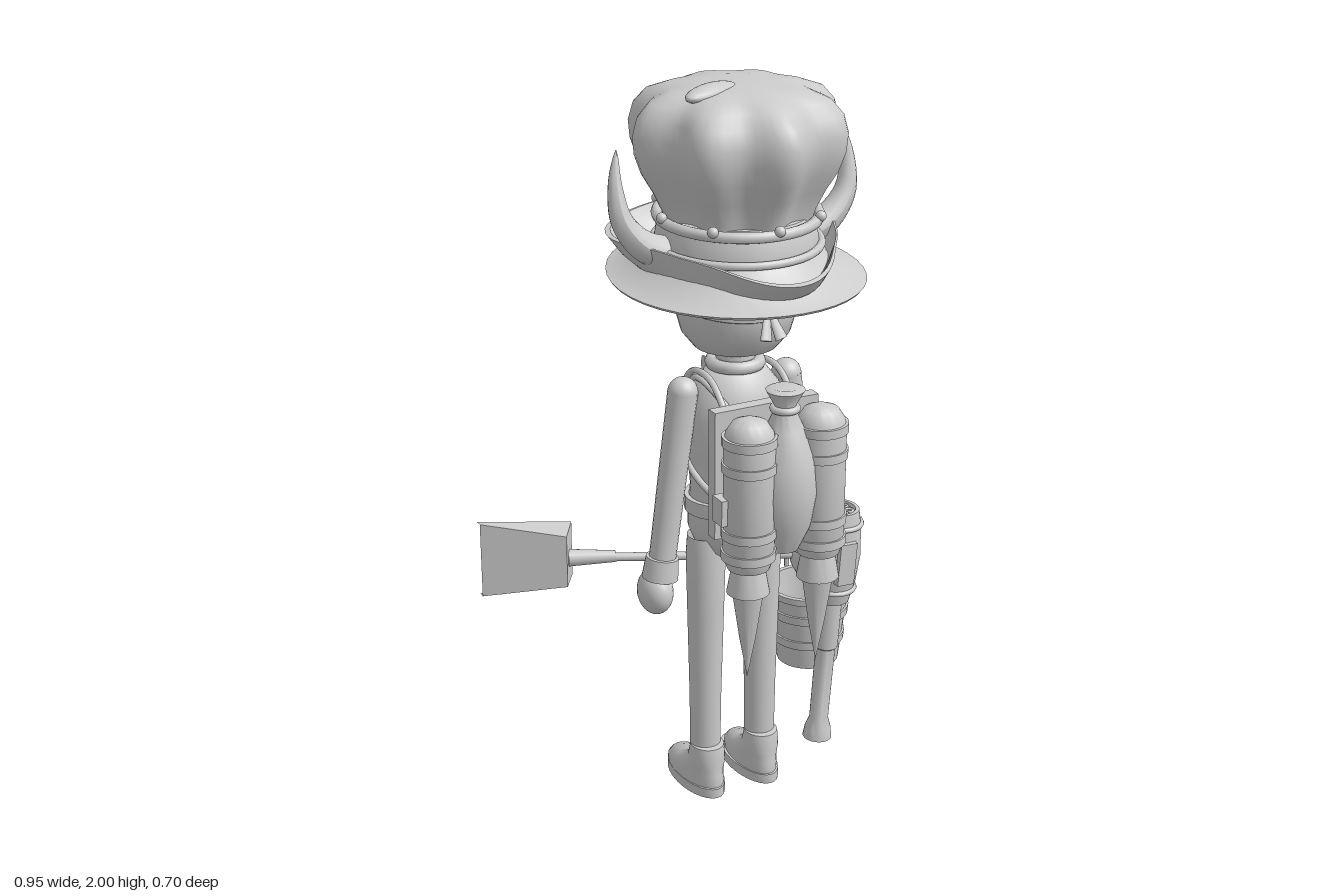
import * as THREE from 'three';
import { toCreasedNormals } from 'three/addons/utils/BufferGeometryUtils.js';

const V = (x, y, z) => new THREE.Vector3(x, y, z);
const CX = 0.12; // body centre line

export function createModel() {
  const model = new THREE.Group();
  const grey = new THREE.MeshStandardMaterial({ color: 0xcccccc, side: THREE.DoubleSide });
  grey.name = 'clay grey';

  const add = (name, geo, x = 0, y = 0, z = 0, parent = model) => {
    const m = new THREE.Mesh(geo, grey);
    m.name = name;
    m.position.set(x, y, z);
    parent.add(m);
    return m;
  };
  // Turned shape from [radius, height] pairs, optionally bent by a rule
  const turned = (profile, seg = 28, rule) => {
    const g = new THREE.LatheGeometry(profile.map(p => new THREE.Vector2(...p)), seg);
    if (rule) {
      const p = g.attributes.position, v = V(0, 0, 0);
      for (let i = 0; i < p.count; i++) {
        v.fromBufferAttribute(p, i);
        rule(v, Math.atan2(v.x, v.z), Math.hypot(v.x, v.z));
        p.setXYZ(i, v.x, v.y, v.z);
      }
    }
    return toCreasedNormals(g, 0.75);
  };
  const ball = (rx, ry, rz) => new THREE.SphereGeometry(1, 24, 16).scale(rx, ry, rz);
  // Tapered rod between two points
  const rod = (name, a, b, ra, rb = ra) => {
    const d = b.clone().sub(a);
    const m = add(name, new THREE.CylinderGeometry(rb, ra, d.length(), 18));
    m.position.copy(a).addScaledVector(d, 0.5);
    m.quaternion.setFromUnitVectors(V(0, 1, 0), d.normalize());
    return m;
  };
  const tube = (name, pts, r, closed = false) =>
    add(name, new THREE.TubeGeometry(new THREE.CatmullRomCurve3(pts, closed), 40, r, 8, closed));
  const ring = (name, r, t, x, y, z) =>
    add(name, new THREE.TorusGeometry(r, t, 8, 36).rotateX(Math.PI / 2), x, y, z);

  // ---- Torso, hips and neck
  const flat = v => { v.z *= 0.82; };
  add('torso', turned([[0.125, 0.84], [0.122, 0.92], [0.13, 1.02], [0.135, 1.12], [0.12, 1.19],
    [0.085, 1.235], [0.045, 1.25], [0, 1.25]], 32, flat), CX);
  add('hips', turned([[0, 0.69], [0.06, 0.7], [0.105, 0.74], [0.128, 0.8], [0.128, 0.87]], 32, flat), CX);
  add('belt', turned([[0.128, 0.85], [0.138, 0.85], [0.138, 0.89], [0.125, 0.89]], 32, flat), CX);
  add('beltBuckle', new THREE.BoxGeometry(0.06, 0.045, 0.015), CX, 0.87, -0.117);
  add('neck', new THREE.CylinderGeometry(0.05, 0.055, 0.1, 20), CX, 1.26, 0);
  ring('collar', 0.062, 0.018, CX, 1.255, 0);
  for (const s of [-1, 1]) {
    const wing = add('bowTieWing', new THREE.ConeGeometry(0.025, 0.05, 10), CX + s * 0.024, 1.225, -0.085);
    wing.rotation.z = s * Math.PI / 2;
    wing.scale.z = 0.5;
  }
  // Shoulder strap, worn diagonally across the chest
  tube('chestStrap', [V(0.02, 1.22, 0), V(0.04, 1.18, -0.09), V(0.12, 1.06, -0.117), V(0.22, 0.92, -0.07),
    V(0.25, 0.89, 0), V(0.2, 0.95, 0.085), V(0.12, 1.06, 0.115), V(0.04, 1.18, 0.09)], 0.008, true);

  // ---- Arms, legs and shoes
  for (const s of [-1, 1]) {
    const at = (x, y, z = 0) => V(CX + s * x, y, z);
    add('shoulder', ball(0.04, 0.04, 0.04), CX + s * 0.153, 1.195, 0);
    rod('arm', at(0.215, 0.73), at(0.153, 1.195), 0.036, 0.04);
    const cuff = add('cuff', turned([[0, 0], [0.049, 0], [0.044, 0.06], [0, 0.065]], 20), CX + s * 0.222, 0.68, 0);
    cuff.rotation.z = s * 0.13;
    add('hand', ball(0.046, 0.063, 0.06), CX + s * 0.234, 0.64, -0.005);
    add('thumb', ball(0.018, 0.035, 0.02), CX + s * 0.205, 0.655, -0.05);

    add('leg', turned([[0.042, 0.11], [0.044, 0.3], [0.05, 0.55], [0.054, 0.72], [0.05, 0.78]], 20), CX + s * 0.085);
    const shoe = add('shoe', turned([[0, 0.02], [0.99, 0.02], [1, 0.04], [0.97, 0.06], [0.93, 0.08], [0.88, 0.1],
      [0.84, 0.125], [0.8, 0.145], [0, 0.15]], 24, v => {
      const t = THREE.MathUtils.smoothstep(v.y, 0.045, 0.11);
      v.x *= 0.057;
      v.z = v.z * (0.122 - 0.06 * t) + THREE.MathUtils.lerp(-0.053, 0.01, t);
    }), CX + s * 0.085);
    shoe.rotation.y = s * -0.04;
    add('sole', turned([[0, 0], [1, 0], [1, 0.028], [0, 0.028]], 28, v => { v.x *= 0.06; v.z *= 0.13; }),
      CX + s * 0.085, 0, -0.055);
  }

  // ---- Head and bandana
  add('head', turned([[0, 1.282], [0.06, 1.285], [0.11, 1.305], [0.142, 1.345], [0.157, 1.4], [0.16, 1.46],
    [0.155, 1.55], [0, 1.56]], 32), CX);
  add('bandana', turned([[0.159, 1.425], [0.168, 1.43], [0.169, 1.475], [0.16, 1.48]], 32,
    v => { v.y += v.z * -0.1; }), CX);
  add('bandanaKnot', ball(0.02, 0.02, 0.02), CX, 1.455, 0.165);
  for (const s of [-1, 1]) {
    const tail = rod('bandanaTail', V(CX + s * 0.022, 1.375, 0.2), V(CX, 1.455, 0.165), 0.017, 0.006);
    tail.scale.z = 0.5;
  }
  rod('facePendant', V(0.19, 1.42, -0.155), V(0.19, 1.5, -0.16), 0.012, 0.007);

  // ---- Stacked hats: round brim, three-cornered hat, studded band, pleated top
  const brim = add('roundBrim', turned([[0.15, 1.51], [0.24, 1.495], [0.325, 1.49], [0.33, 1.497], [0.25, 1.525],
    [0.205, 1.58]], 40, (v, a, r) => { v.z *= 1.04; v.y += -0.05 * v.z + 0.012 * Math.cos(2 * a) * r; }), CX);
  brim.position.y = 0.005;
  add('hatCrown', turned([[0.2, 1.5], [0.215, 1.56], [0.205, 1.62], [0.19, 1.66], [0, 1.67]], 32), CX);
  add('threeCorneredHat', turned([[0.2, 1.5], [0.235, 1.515], [0.262, 1.55], [0.285, 1.6], [0.277, 1.602],
    [0.252, 1.555], [0.21, 1.53]], 72, (v, a, r) => {
    const corner = Math.pow(Math.abs(Math.cos(1.5 * a)), 3);
    const k = THREE.MathUtils.clamp((r - 0.2) / 0.085, 0, 1);
    const scale = 1 + k * (0.27 * corner - 0.1);
    v.x *= scale;
    v.z *= scale;
    v.y += -0.1 * v.z + k * 0.012 * (1 - 2 * corner);
  }), CX);
  const band = new THREE.Group();
  band.name = 'studdedBand';
  band.position.set(CX, 1.655, 0.008);
  band.rotation.x = 0.03;
  model.add(band);
  for (const [y, t] of [[0, 0.015], [-0.07, 0.011]])
    add('bandRim', new THREE.TorusGeometry(0.205 - y * 0.12, t, 8, 40).rotateX(Math.PI / 2), 0, y, 0, band);
  for (let i = 0; i < 8; i++) {
    const a = i * Math.PI / 4;
    add('stud', ball(0.014, 0.014, 0.014), Math.sin(a) * 0.215, 0.014, Math.cos(a) * 0.215, band);
  }
  add('pleatedHat', turned([[0.18, 1.63], [0.193, 1.68], [0.215, 1.73], [0.243, 1.78], [0.26, 1.83], [0.264, 1.875],
    [0.252, 1.92], [0.222, 1.955], [0.17, 1.976], [0.09, 1.985], [0, 1.986]], 80, (v, a, r) => {
    const k = 1 + 0.075 * Math.cos(8 * a) * THREE.MathUtils.smoothstep(r, 0.05, 0.24);
    v.x *= k;
    v.z *= k;
  }), CX);
  const curl = add('hatTopFold', ball(0.095, 0.022, 0.035), 0.025, 1.978, 0.04);
  curl.rotation.y = 0.45;

  // Curved horns, built as shrinking rings along a curve
  for (const s of [-1, 1]) {
    const path = new THREE.CatmullRomCurve3([V(0.19, 1.57, 0), V(0.265, 1.605, 0.005), V(0.318, 1.67, 0),
      V(0.33, 1.76, -0.015), V(0.318, 1.845, -0.032)].map(p => V(CX + s * p.x, p.y, p.z)));
    const g = new THREE.TubeGeometry(path, 24, 1, 12), p = g.attributes.position, v = V(0, 0, 0);
    for (let i = 0; i < p.count; i++) {
      const t = Math.floor(i / 13) / 24, c = path.getPointAt(t);
      v.fromBufferAttribute(p, i).sub(c).multiplyScalar(0.045 * Math.pow(1 - t, 0.7) + 0.001).add(c);
      p.setXYZ(i, v.x, v.y, v.z);
    }
    g.computeVertexNormals();
    add('horn', g);
  }

  // ---- Rocket pack with a tied sack between its tanks
  add('packPlate', new THREE.BoxGeometry(0.3, 0.35, 0.035), CX, 1.02, 0.155);
  for (const y of [0.93, 1.1]) add('packBracket', new THREE.BoxGeometry(0.2, 0.035, 0.12), CX, y, 0.2);
  for (const s of [-1, 1]) {
    const x = CX + s * 0.103, z = 0.267;
    add('tank', turned([[0, 0.79], [0.055, 0.8], [0.066, 0.83], [0.066, 1.13], [0.062, 1.17], [0.045, 1.197],
      [0.02, 1.207], [0, 1.208]]), x, 0, z);
    for (const y of [0.84, 0.9, 1.08, 1.15])
      add('tankBand', turned([[0.06, -0.012], [0.071, -0.012], [0.071, 0.012], [0.06, 0.012]]), x, y, z);
    add('nozzle', turned([[0, 0.735], [0.056, 0.73], [0.045, 0.79], [0.04, 0.81]]), x, 0, z);
    add('exhaustSpike', turned([[0, 0.48], [0.022, 0.6], [0.042, 0.735], [0, 0.74]], 16), x, 0, z);
    tube('packStrap', [V(CX + s * 0.1, 1.16, 0.15), V(CX + s * 0.1, 1.235, 0.05), V(CX + s * 0.1, 1.22, -0.06),
      V(CX + s * 0.115, 1.1, -0.09), V(CX + s * 0.13, 0.98, 0), V(CX + s * 0.11, 0.92, 0.15)], 0.009);
  }
  add('sidePocket', new THREE.BoxGeometry(0.03, 0.07, 0.05), -0.05, 0.965, 0.25);
  add('sack', turned([[0, 0.815], [0.04, 0.83], [0.072, 0.9], [0.086, 0.99], [0.078, 1.08], [0.05, 1.16],
    [0.03, 1.205], [0.028, 1.225], [0.05, 1.265], [0.035, 1.272], [0, 1.262]]), CX, 0, 0.262);
  ring('sackTie', 0.03, 0.01, CX, 1.215, 0.262);

  // ---- Barrelled launcher hanging beside the leg
  const launcher = new THREE.Group();
  launcher.name = 'launcher';
  launcher.position.set(0.32, 0.15, 0.125);
  launcher.rotation.set(0.035, 0, -0.05);
  model.add(launcher);
  add('launcherPipe', turned([[0.026, 0.02], [0.026, 0], [0.04, 0], [0.036, 0.03], [0.026, 0.06], [0.027, 0.28],
    [0.033, 0.285], [0.033, 0.44], [0, 0.44]], 20), 0, 0, 0, launcher);
  add('launcherBarrel', turned([[0, 0.425], [0.05, 0.43], [0.063, 0.49], [0.07, 0.57], [0.064, 0.65], [0.055, 0.7],
    [0.045, 0.7], [0.043, 0.69], [0, 0.69]]), 0, 0, 0, launcher);
  for (const [y, r] of [[0.47, 0.061], [0.66, 0.064]])
    add('barrelHoop', new THREE.TorusGeometry(r, 0.007, 8, 28).rotateX(Math.PI / 2), 0, y, 0, launcher);
  for (let i = 0; i < 6; i++)
    add('chamberRing', new THREE.TorusGeometry(0.01, 0.004, 6, 12).rotateX(Math.PI / 2),
      Math.sin(i * Math.PI / 3) * 0.029, 0.693, Math.cos(i * Math.PI / 3) * 0.029, launcher);
  add('launcherPanel', new THREE.BoxGeometry(0.05, 0.12, 0.025), -0.005, 0.565, 0.065, launcher);
  tube('launcherGrip', [V(0.35, 0.79, 0.1), V(0.35, 0.8, 0.05), V(0.35, 0.76, 0.02), V(0.35, 0.68, 0.01)], 0.012);

  // ---- Bucket carried on a bail handle
  add('bucket', turned([[0, 0.335], [0.085, 0.335], [0.109, 0.54], [0.117, 0.542], [0.117, 0.56], [0.104, 0.56],
    [0.08, 0.35], [0, 0.35]], 32), 0.357);
  for (const [y, r] of [[0.41, 0.095], [0.49, 0.105]])
    add('bucketHoop', turned([[r - 0.008, -0.012], [r + 0.004, -0.012], [r + 0.006, 0.012], [r - 0.006, 0.012]], 32), 0.357, y);
  tube('bucketHandle', [V(0.357, 0.53, 0.115), V(0.357, 0.6, 0.1), V(0.355, 0.66, 0.05), V(0.355, 0.67, 0),
    V(0.355, 0.66, -0.06), V(0.357, 0.6, -0.12), V(0.357, 0.54, -0.122)], 0.007);

  // ---- Shovel: shaft, socket and an open scoop with tapering walls
  rod('shovelShaft', V(0.4, 0.645, 0.015), V(-0.23, 0.657, -0.255), 0.012);
  rod('shovelSocket', V(-0.13, 0.656, -0.216), V(-0.25, 0.658, -0.262), 0.016, 0.024);
  const corners = [
    [-0.27, 0.59, -0.225], [-0.27, 0.74, -0.225], [-0.475, 0.775, -0.335], [-0.475, 0.56, -0.335],
    [-0.222, 0.585, -0.3], [-0.222, 0.745, -0.3], [-0.475, 0.775, -0.355], [-0.475, 0.56, -0.355]];
  const quads = [[0, 1, 2, 3], [0, 4, 5, 1], [1, 5, 6, 2], [3, 7, 4, 0]];
  const scoop = new THREE.BufferGeometry();
  scoop.setAttribute('position', new THREE.Float32BufferAttribute(
    quads.flatMap(([a, b, c, d]) => [a, b, c, a, c, d].flatMap(i => corners[i])), 3));
  scoop.computeVertexNormals();
  add('shovelScoop', scoop);

  return model;
}
